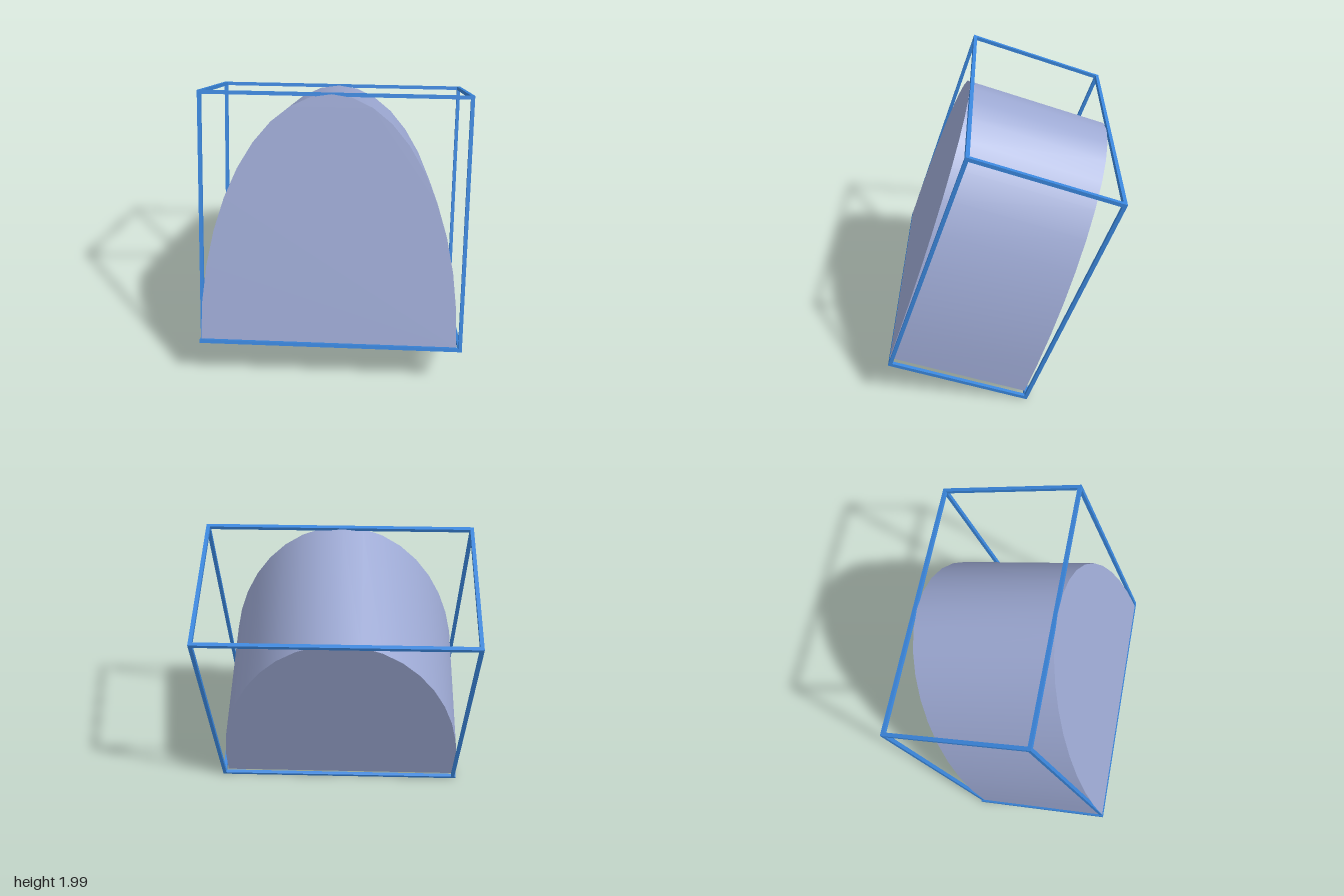
import * as THREE from 'three';
import { toCreasedNormals } from 'three/addons/utils/BufferGeometryUtils.js';

export function createModel() {
  const model = new THREE.Group();
  model.name = 'archInFrame';
  const blue = new THREE.MeshStandardMaterial({ color: 0x3a86dc });
  const pale = new THREE.MeshStandardMaterial({ color: 0x9ca8d2 });

  // Half height, half depth and bar thickness of the tilted frame
  const H = 0.866, D = 0.495, T = 0.025;

  // Solid with a half-ellipse outline, nearly filling the frame
  const radius = 0.885, bottom = -H + 0.022, back = -D + 0.015, front = D + 0.013;
  const outline = new THREE.Shape();
  outline.moveTo(radius, 0);
  outline.absellipse(0, 0, radius, H + 0.003 - bottom, 0, Math.PI);
  outline.closePath();
  const archGeometry = new THREE.ExtrudeGeometry(outline, {
    depth: front - back, bevelEnabled: false, curveSegments: 10,
  });
  const arch = new THREE.Mesh(toCreasedNormals(archGeometry, 0.6), pale);
  arch.name = 'archSolid';
  arch.position.set(-0.015, bottom, back);
  model.add(arch);

  // Frame of twelve square bars
  const frame = new THREE.Group();
  frame.name = 'frame';
  const bar = (name, size, position) => {
    const mesh = new THREE.Mesh(new THREE.BoxGeometry(...size), blue);
    mesh.name = name;
    mesh.position.set(...position);
    frame.add(mesh);
  };
  const left = 0.9, right = -0.89, lowRight = -0.9;
  for (const z of [-D, D]) {
    const end = z > 0 ? 'front' : 'back';
    bar(end + 'TopBar', [left - right + T, T, T], [(left + right) / 2, H, z]);
    bar(end + 'BottomBar', [left - lowRight + T, T, T], [0, -H, z]);
    bar(end + 'LeftPost', [T, 2 * H, T], [left, 0, z]);
    bar(end + 'RightPost', [T, 2 * H, T], [right, 0, z]);
  }
  bar('leftTopRail', [T, T, 2 * D], [left, H, 0]);
  bar('rightTopRail', [T, T, 2 * D], [right, H, 0]);
  bar('leftBottomRail', [T, T, 2 * D], [left, -H, 0]);
  bar('rightBottomRail', [T, T, 2 * D], [lowRight, -H, 0]);
  model.add(frame);

  // Everything leans back on the rear bottom edge
  model.rotation.x = THREE.MathUtils.degToRad(-19);
  model.position.y = 1;
  const root = new THREE.Group();
  root.add(model);
  return root;
}
